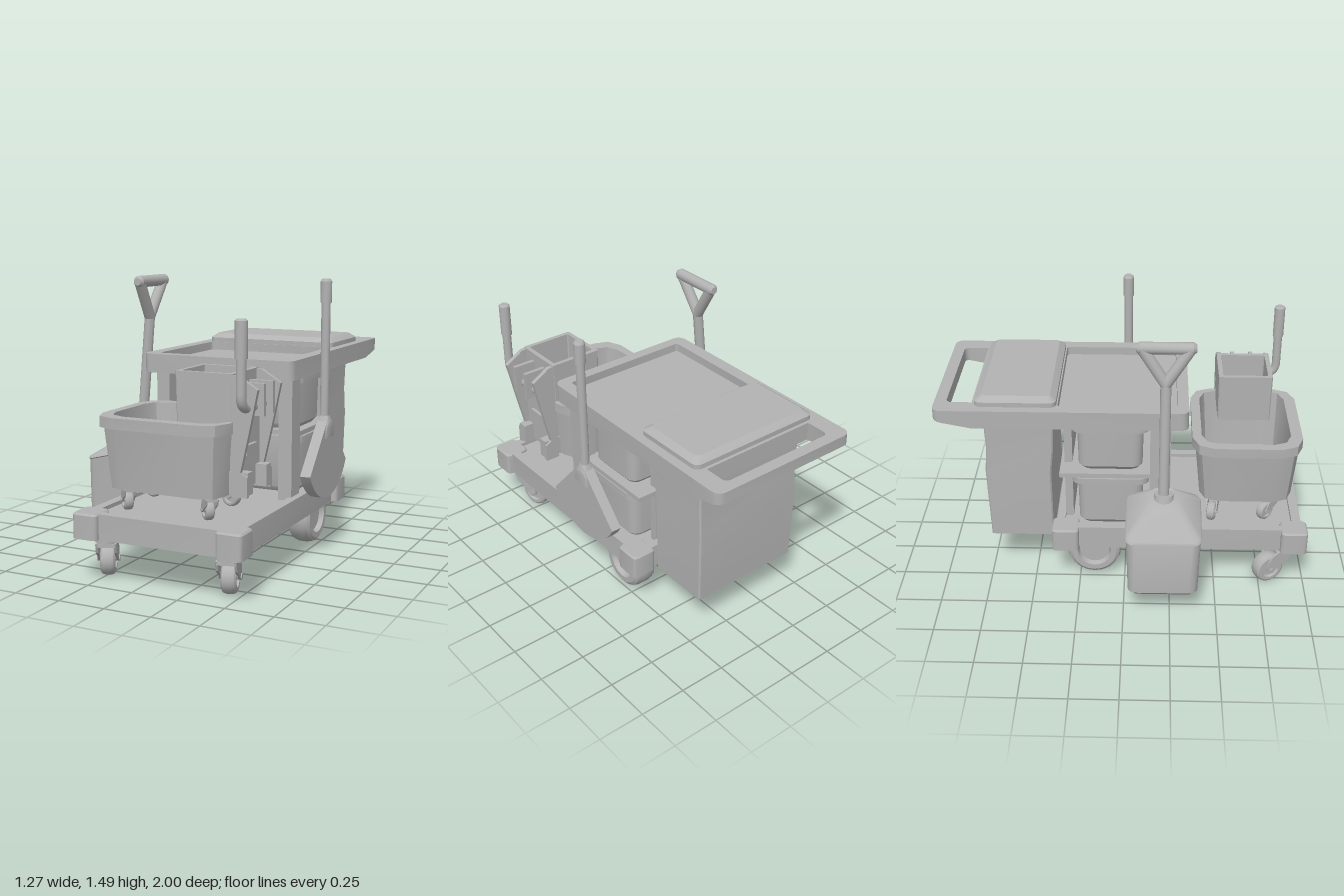
import * as THREE from 'three';
import { toCreasedNormals } from 'three/addons/utils/BufferGeometryUtils.js';

const grey = new THREE.MeshStandardMaterial({ color: 0xb2b2b2 });
grey.name = 'plain grey';
const V = (x, y, z) => new THREE.Vector3(x, y, z);

function add(parent, name, geometry, crease = 0.6) {
  const m = new THREE.Mesh(toCreasedNormals(geometry, crease), grey);
  m.name = name;
  parent.add(m);
  return m;
}

function box(parent, name, x0, x1, y0, y1, z0, z1) {
  const g = new THREE.BoxGeometry(x1 - x0, y1 - y0, z1 - z0);
  g.translate((x0 + x1) / 2, (y0 + y1) / 2, (z0 + z1) / 2);
  return add(parent, name, g);
}

// Straight round bar between two points
function rod(parent, name, a, b, r, r2 = r) {
  const d = b.clone().sub(a);
  const g = new THREE.CylinderGeometry(r2, r, d.length(), 16);
  g.applyQuaternion(new THREE.Quaternion().setFromUnitVectors(V(0, 1, 0), d.normalize()));
  g.translate((a.x + b.x) / 2, (a.y + b.y) / 2, (a.z + b.z) / 2);
  return add(parent, name, g);
}

// Rounded rectangle ring; y may be a number or a function of x
function ring(x0, x1, z0, z1, r, y, n = 4) {
  const pts = [];
  const corners = [[x1 - r, z0 + r], [x0 + r, z0 + r], [x0 + r, z1 - r], [x1 - r, z1 - r]];
  corners.forEach(([cx, cz], k) => {
    for (let i = 0; i <= n; i++) {
      const t = (k + i / n) * Math.PI / 2;
      const x = cx + r * Math.cos(t), z = cz - r * Math.sin(t);
      pts.push(V(x, typeof y === 'function' ? y(x) : y, z));
    }
  });
  return pts;
}

// Skin a stack of rings, capped at both ends
function loft(parent, name, rings, crease = 0.6) {
  const pos = [], n = rings[0].length;
  const tri = (a, b, c) => [a, b, c].forEach(p => pos.push(p.x, p.y, p.z));
  const mid = q => q.reduce((s, p) => s.add(p), V(0, 0, 0)).divideScalar(n);
  const first = rings[0], last = rings[rings.length - 1], c0 = mid(first), c1 = mid(last);
  for (let i = 0; i < n; i++) {
    const j = (i + 1) % n;
    for (let k = 0; k + 1 < rings.length; k++) {
      const lo = rings[k], hi = rings[k + 1];
      tri(lo[i], lo[j], hi[j]);
      tri(lo[i], hi[j], hi[i]);
    }
    tri(c0, first[j], first[i]);
    tri(c1, last[i], last[j]);
  }
  const g = new THREE.BufferGeometry();
  g.setAttribute('position', new THREE.Float32BufferAttribute(pos, 3));
  return add(parent, name, g, crease);
}

const shapeOf = pts => new THREE.Shape(pts.map(p => new THREE.Vector2(p[0], p[1])));

// Side profile of [z, y] points, given a thickness along x
function slabX(parent, name, pts, x0, x1) {
  const g = new THREE.ExtrudeGeometry(shapeOf(pts), { depth: x1 - x0, bevelEnabled: false });
  g.rotateY(-Math.PI / 2).translate(x1, 0, 0);
  return add(parent, name, g);
}

function wheel(parent, name, r, w, x, y, z) {
  const h = w / 2;
  const half = [[0, 0.6], [0.55, 0.6], [0.62, 1], [0.82, 1], [0.94, 0.8], [1, 0.35]];
  const profile = [...half.map(([a, b]) => [a, -b]), ...half.reverse()];
  const g = new THREE.LatheGeometry(profile.map(p => new THREE.Vector2(p[0] * r, p[1] * h)), 20);
  g.rotateZ(Math.PI / 2).translate(x, y, z);
  return add(parent, name, g);
}

// Swivel caster hanging from its mounting point
function caster(parent, name, x, y, z, yaw, s) {
  const c = new THREE.Group();
  c.name = name;
  rod(c, 'swivelStem', V(0, -0.008, 0), V(0, 0, 0), 0.045);
  rod(c, 'swivelPlate', V(0, -0.025, 0), V(0, -0.007, 0), 0.064);
  rod(c, 'swivelBearing', V(0, -0.04, 0), V(0, -0.025, 0), 0.05);
  const side = [[0.05, -0.035], [-0.05, -0.035], [-0.085, -0.06], [-0.107, -0.1], [-0.11, -0.15], [-0.08, -0.158],
    [-0.03, -0.12], [0.03, -0.085]];
  for (const k of [-1, 1]) slabX(c, 'forkSide', side, k * 0.046 - 0.006, k * 0.046 + 0.006);
  box(c, 'forkTop', -0.046, 0.046, -0.052, -0.036, -0.052, 0.048);
  wheel(c, 'casterWheel', 0.087, 0.075, 0, -0.142, -0.085);
  rod(c, 'casterAxle', V(-0.058, -0.142, -0.085), V(0.058, -0.142, -0.085), 0.016);
  c.position.set(x, y, z);
  c.rotation.y = yaw;
  c.scale.setScalar(s);
  parent.add(c);
}

export function createModel() {
  const root = new THREE.Group();
  root.name = 'cleaningCart';
  const part = name => {
    const g = new THREE.Group();
    g.name = name;
    root.add(g);
    return g;
  };

  // Lower deck, recessed on top, with corner bumpers
  const base = part('lowerDeck');
  loft(base, 'deckTray', [
    ring(-0.27, 0.52, -0.34, 0.935, 0.02, 0.25), ring(-0.27, 0.52, -0.34, 0.935, 0.02, 0.23),
    ring(-0.3, 0.55, -0.375, 0.97, 0.03, 0.23), ring(-0.3, 0.55, -0.375, 0.97, 0.03, 0.36),
    ring(-0.25, 0.5, -0.33, 0.92, 0.02, 0.36), ring(-0.25, 0.5, -0.33, 0.92, 0.02, 0.34)]);
  for (const [x0, x1] of [[-0.338, -0.2], [0.445, 0.583]])
    for (const [z0, z1] of [[0.855, 1], [-0.397, -0.25]])
      loft(base, 'cornerBumper', [ring(x0, x1, z0, z1, 0.022, 0.23), ring(x0, x1, z0, z1, 0.022, 0.352),
        ring(x0 + 0.008, x1 - 0.008, z0 + 0.008, z1 - 0.008, 0.018, 0.361)]);

  // Running gear
  const gear = part('runningGear');
  caster(gear, 'frontCasterRight', -0.215, 0.23, 0.875, 0.45, 1);
  caster(gear, 'frontCasterLeft', 0.455, 0.23, 0.875, 0.28, 1);
  for (const x of [-0.18, 0.44]) wheel(gear, 'rearWheel', 0.15, 0.13, x, 0.162, -0.17);
  rod(gear, 'rearAxle', V(-0.2, 0.162, -0.17), V(0.46, 0.162, -0.17), 0.038);
  for (const x of [-0.04, 0.282])
    slabX(gear, 'axleBracket', [[-0.23, 0.24], [-0.225, 0.14], [-0.195, 0.11], [-0.145, 0.11], [-0.115, 0.14],
      [-0.11, 0.24]], x - 0.024, x + 0.024);

  // Front posts, rear panel and middle shelf
  const frame = part('frame');
  for (const [x0, x1] of [[-0.275, -0.2], [0.44, 0.515]])
    box(frame, 'frontPost', x0, x1, 0.34, 0.99, 0.135, 0.245);
  box(frame, 'rearPanel', -0.15, 0.39, 0.34, 0.99, -0.33, -0.287);
  box(frame, 'middleShelf', -0.27, 0.51, 0.662, 0.688, -0.35, 0.135);

  // Storage bins with rounded undersides
  for (const [y, h] of [[0.345, 0.655], [0.688, 0.972]])
    loft(part('storageBin'), 'binShell', [
      ring(-0.215, 0.455, -0.23, 0.078, 0.05, y), ring(-0.235, 0.475, -0.25, 0.095, 0.055, y + 0.025),
      ring(-0.24, 0.48, -0.255, 0.1, 0.06, h - 0.035),
      ring(-0.27, 0.51, -0.285, 0.132, 0.06, h - 0.035), ring(-0.27, 0.51, -0.285, 0.132, 0.06, h),
      ring(-0.225, 0.465, -0.245, 0.09, 0.05, h), ring(-0.21, 0.45, -0.23, 0.077, 0.04, y + 0.03)]);

  // Top tray with a grip opening, its rear end thinned from below
  const top = part('topTray');
  const flat = pts => pts.map(p => [p.x, -p.z]);
  const outline = ring(-0.31, 0.55, -1, 0.335, 0.045, 0);
  outline.splice(10, 0, V(-0.31, 0, -0.8));
  outline.push(V(0.55, 0, -0.8));
  const tray = shapeOf(flat(outline));
  const grip = ring(-0.21, 0.45, -0.937, -0.8, 0.03, 0).slice(0, 10);
  grip.push(V(-0.21, 0, -0.802), V(0.45, 0, -0.802));
  for (const h of [ring(-0.24, 0.478, -0.35, 0.275, 0.015, 0), grip])
    tray.holes.push(shapeOf(flat(h)));
  const tg = new THREE.ExtrudeGeometry(tray, { depth: 0.1, bevelEnabled: false });
  tg.rotateX(-Math.PI / 2).translate(0, 0.98, 0);
  const tp = tg.attributes.position;
  for (let i = 0; i < tp.count; i++)
    if (tp.getY(i) < 1) tp.setY(i, 0.98 + 0.2 * Math.max(0, -0.8 - tp.getZ(i)));
  add(top, 'trayRim', tg);
  box(top, 'trayFloor', -0.25, 0.485, 0.985, 1.035, -0.355, 0.28);
  loft(top, 'bagLid', [ring(-0.26, 0.5, -0.785, -0.357, 0.035, 1.075), ring(-0.26, 0.5, -0.785, -0.357, 0.035, 1.105),
    ring(-0.225, 0.465, -0.75, -0.39, 0.025, 1.13)], 0.4);

  // Refuse bag
  loft(part('refuseBag'), 'bagBody', [
    ring(-0.197, 0.437, -0.745, -0.397, 0.008, 0.24, 1), ring(-0.204, 0.444, -0.757, -0.4, 0.008, 0.65, 1),
    ring(-0.2, 0.44, -0.747, -0.385, 0.008, 0.8, 1), ring(-0.205, 0.445, -0.753, -0.378, 0.008, 0.985, 1)], 0.3);

  // Mop bucket
  const bucket = part('mopBucket');
  loft(bucket, 'bucketShell', [
    ring(-0.2, 0.41, 0.41, 0.915, 0.1, 0.48, 2), ring(-0.23, 0.43, 0.38, 0.94, 0.11, 0.785, 2),
    ring(-0.25, 0.447, 0.362, 0.955, 0.12, 0.785, 2), ring(-0.25, 0.447, 0.362, 0.955, 0.12, 0.84, 2),
    ring(-0.2, 0.42, 0.412, 0.893, 0.1, 0.84, 2), ring(-0.175, 0.392, 0.435, 0.885, 0.09, 0.5, 2)], 0.4);
  for (const x of [-0.117, 0.335]) for (const [z, yaw] of [[0.81, 0.75], [0.49, 1.35]])
    caster(bucket, 'bucketCaster', x, 0.482, z, yaw, 0.6);

  // Wringer: open hopper, side brackets and bent lever
  const wringer = part('wringer');
  loft(wringer, 'hopper', [
    ring(0.145, 0.44, 0.51, 0.8, 0.006, 0.8, 1), ring(0.14, 0.445, 0.507, 0.803, 0.006, 1.068, 1),
    ring(0.163, 0.42, 0.532, 0.778, 0.006, 1.068, 1), ring(0.165, 0.418, 0.534, 0.776, 0.006, 0.82, 1)], 0.2);
  const bracket = [[0.44, 0.48], [0.52, 0.48], [0.52, 0.58], [0.485, 0.6], [0.53, 0.8], [0.572, 1], [0.47, 1.062],
    [0.44, 1.062]];
  for (const z of [0.508, 0.778]) {
    const g = new THREE.ExtrudeGeometry(shapeOf(bracket), { depth: 0.024, bevelEnabled: false });
    add(wringer, 'sideBracket', g.translate(0, 0, z));
  }
  for (const z of [0.52, 0.735]) box(wringer, 'bracketFoot', 0.42, 0.52, 0.49, 0.6, z, z + 0.055);
  box(wringer, 'backPlate', 0.42, 0.462, 0.5, 0.86, 0.53, 0.78);
  box(wringer, 'latchPad', 0.45, 0.48, 0.665, 0.715, 0.595, 0.715);
  for (const z of [0.605, 0.71]) box(wringer, 'pressBar', 0.44, 0.57, 0.865, 1.02, z - 0.011, z + 0.011);
  const lever = new THREE.CurvePath();
  lever.add(new THREE.LineCurve3(V(0.515, 1.2, 0.858), V(0.515, 0.98, 0.858)));
  lever.add(new THREE.QuadraticBezierCurve3(V(0.515, 0.98, 0.858), V(0.515, 0.912, 0.858), V(0.515, 0.912, 0.79)));
  lever.add(new THREE.LineCurve3(V(0.515, 0.912, 0.79), V(0.515, 0.912, 0.52)));
  add(wringer, 'lever', new THREE.TubeGeometry(lever, 40, 0.024, 12), 1);
  rod(wringer, 'leverGrip', V(0.515, 1.15, 0.858), V(0.515, 1.325, 0.858), 0.03);
  rod(wringer, 'leverGripTip', V(0.515, 1.325, 0.858), V(0.515, 1.333, 0.858), 0.03, 0.022);

  // Lidded dustpan with a triangular grip
  const pan = part('dustpan');
  const slope = (y, k) => x => y + k * (x + 0.46);
  loft(pan, 'panBody', [
    ring(-0.615, -0.362, 0.045, 0.375, 0.035, slope(0.148, -0.06)),
    ring(-0.634, -0.343, 0.025, 0.395, 0.045, slope(0.168, -0.06)),
    ring(-0.632, -0.292, 0.015, 0.405, 0.045, slope(0.525, 0.25)),
    ring(-0.638, -0.287, 0.01, 0.41, 0.045, slope(0.53, 0.25)),
    ring(-0.633, -0.291, 0.016, 0.404, 0.045, slope(0.542, 0.25)),
    ring(-0.47, -0.325, 0.135, 0.285, 0.05, slope(0.615, 0.2))]);
  rod(pan, 'panSocket', V(-0.397, 0.59, 0.21), V(-0.39, 0.645, 0.21), 0.06, 0.05);
  rod(pan, 'panPole', V(-0.395, 0.6, 0.21), V(-0.336, 1.275, 0.21), 0.028);
  for (const z of [0.085, 0.335])
    rod(pan, 'gripArm', V(-0.337, 1.265, 0.21), V(-0.324, 1.46, z), 0.03);
  rod(pan, 'gripBar', V(-0.323, 1.458, 0.075), V(-0.323, 1.458, 0.345), 0.031);
  for (const [a, b] of [[0.075, 0.058], [0.345, 0.362]])
    rod(pan, 'gripBarEnd', V(-0.323, 1.458, a), V(-0.323, 1.458, b), 0.031, 0.02);

  // Fan broom
  const broom = part('broom');
  rod(broom, 'broomPole', V(0.598, 0.68, 0), V(0.598, 1.4, 0), 0.024);
  rod(broom, 'broomGrip', V(0.598, 1.355, 0), V(0.598, 1.465, 0), 0.03);
  rod(broom, 'broomGripTip', V(0.598, 1.465, 0), V(0.598, 1.478, 0), 0.03, 0.022);
  loft(broom, 'broomSocket', [ring(0.566, 0.631, -0.06, 0.06, 0.01, 0.645), ring(0.563, 0.634, -0.055, 0.055, 0.012, 0.7),
    ring(0.563, 0.634, -0.036, 0.036, 0.015, 0.73), ring(0.573, 0.623, -0.025, 0.025, 0.02, 0.762)]);
  const fan = [[0.02, 0.75], [-0.02, 0.75]];
  for (let i = 0; i <= 12; i++) {
    const t = (i / 6 - 1) * 1.08;
    fan.push([0.3 * Math.sin(t), 0.622 - 0.3 * Math.cos(t)]);
  }
  slabX(broom, 'broomFan', fan, 0.57, 0.627);

  return root;
}
